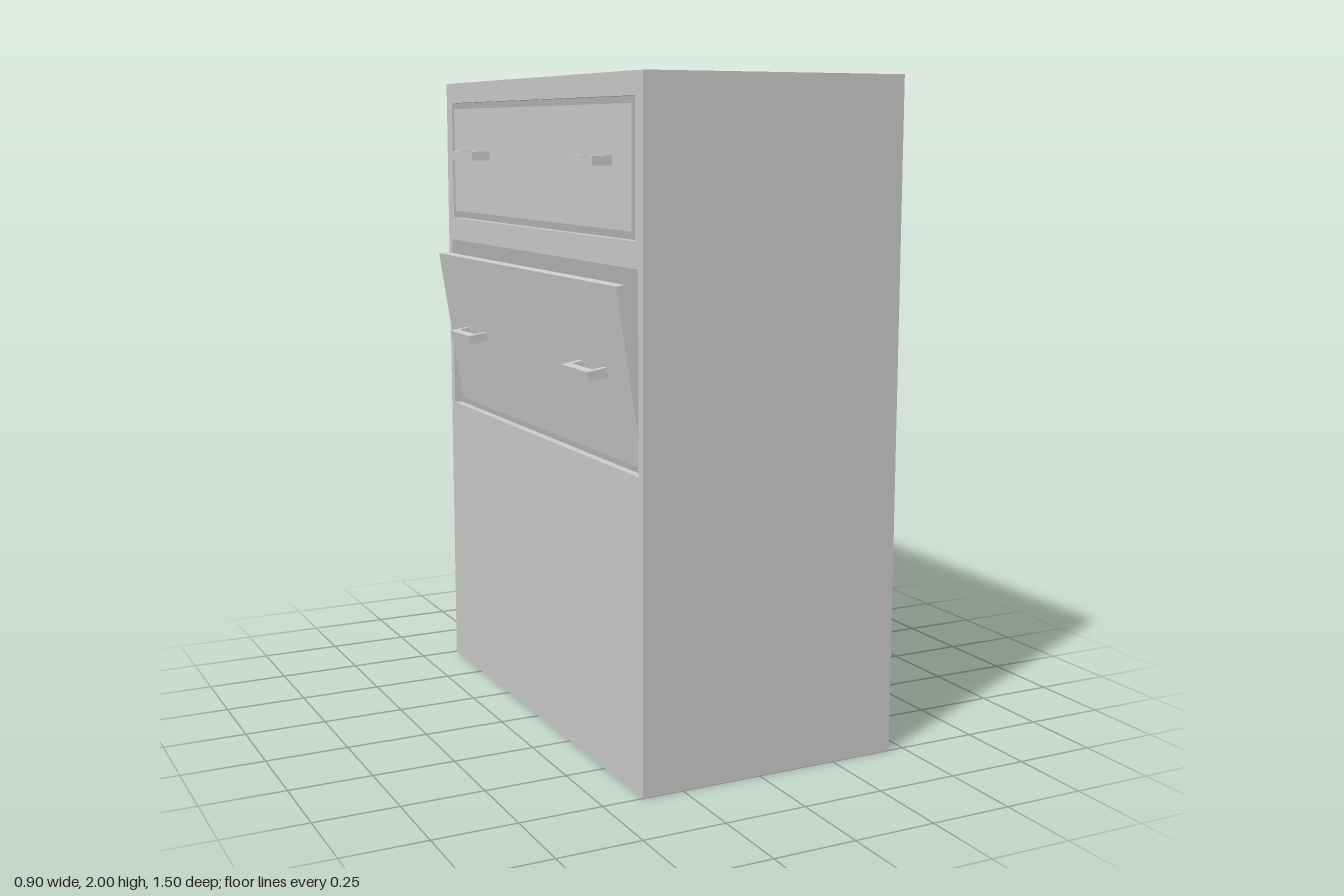
import * as THREE from 'three';

const WALL = 0.025;
const FRONT_X = -0.375, BACK_X = 0.45, HALF_Z = 0.75, HEIGHT = 2;
const material = new THREE.MeshStandardMaterial({ color: 0xcccccc, flatShading: true });

function box(name, size, position) {
  const mesh = new THREE.Mesh(new THREE.BoxGeometry(...size), material);
  mesh.name = name;
  mesh.position.set(...position);
  return mesh;
}

// Adds a rectangle, symmetric in z, to a shape or path
function rect(path, halfWidth, bottom, top) {
  path.moveTo(-halfWidth, bottom);
  path.lineTo(halfWidth, bottom);
  path.lineTo(halfWidth, top);
  path.lineTo(-halfWidth, top);
  path.closePath();
  return path;
}

// U-shaped pull: two posts and a grip bar, pointing along -x
function handle(z, y) {
  const group = new THREE.Group();
  group.name = 'handle';
  for (const side of [-1, 1]) {
    group.add(box('handlePost', [0.035, 0.028, 0.02], [-0.0175, 0, side * 0.08]));
  }
  group.add(box('handleGrip', [0.025, 0.028, 0.18], [-0.0475, 0, 0]));
  group.position.set(-WALL / 2, y, z);
  return group;
}

// Drawer front with two pulls, centred on its own origin
function drawerFront(name, width, height, handleY) {
  const group = new THREE.Group();
  group.name = name;
  group.add(box('drawerPanel', [WALL, height, width], [0, 0, 0]));
  for (const z of [-0.45, 0.47]) group.add(handle(z, handleY));
  return group;
}

export function createModel() {
  const model = new THREE.Group();
  model.name = 'cabinet';

  // Hollow carcass
  const depth = BACK_X - FRONT_X, midX = (BACK_X + FRONT_X) / 2;
  const innerDepth = depth - 2 * WALL, innerHeight = HEIGHT - 2 * WALL;
  model.add(box('topPanel', [depth - WALL, WALL, 2 * HALF_Z], [midX + WALL / 2, HEIGHT - WALL / 2, 0]));
  model.add(box('bottomPanel', [depth - WALL, WALL, 2 * HALF_Z], [midX + WALL / 2, WALL / 2, 0]));
  model.add(box('rearPanel', [WALL, innerHeight, 2 * HALF_Z], [BACK_X - WALL / 2, HEIGHT / 2, 0]));
  for (const side of [-1, 1]) {
    model.add(box('sidePanel', [innerDepth, innerHeight, WALL], [midX, HEIGHT / 2, side * (HALF_Z - WALL / 2)]));
  }

  // Face panel with two drawer openings
  const face = rect(new THREE.Shape(), HALF_Z, 0, HEIGHT);
  face.holes.push(rect(new THREE.Path(), 0.70, 1.55, 1.935));
  face.holes.push(rect(new THREE.Path(), 0.72, 0.91, 1.476));
  const faceGeometry = new THREE.ExtrudeGeometry(face, { depth: WALL, bevelEnabled: false });
  faceGeometry.rotateY(-Math.PI / 2);
  const facePanel = new THREE.Mesh(faceGeometry, material);
  facePanel.name = 'facePanel';
  facePanel.position.x = FRONT_X + WALL;
  model.add(facePanel);

  // Closed upper drawer, flush with the face
  const upper = drawerFront('upperDrawer', 1.36, 0.34, 0.0175);
  upper.position.set(FRONT_X + WALL / 2, 1.745, 0);
  model.add(upper);

  // Lower drawer front, tilted open at the top
  const lower = drawerFront('tiltedDrawer', 1.4, 0.51, 0);
  lower.position.set(-0.379, 1.181, 0);
  lower.rotation.z = 0.155;
  model.add(lower);

  return model;
}
